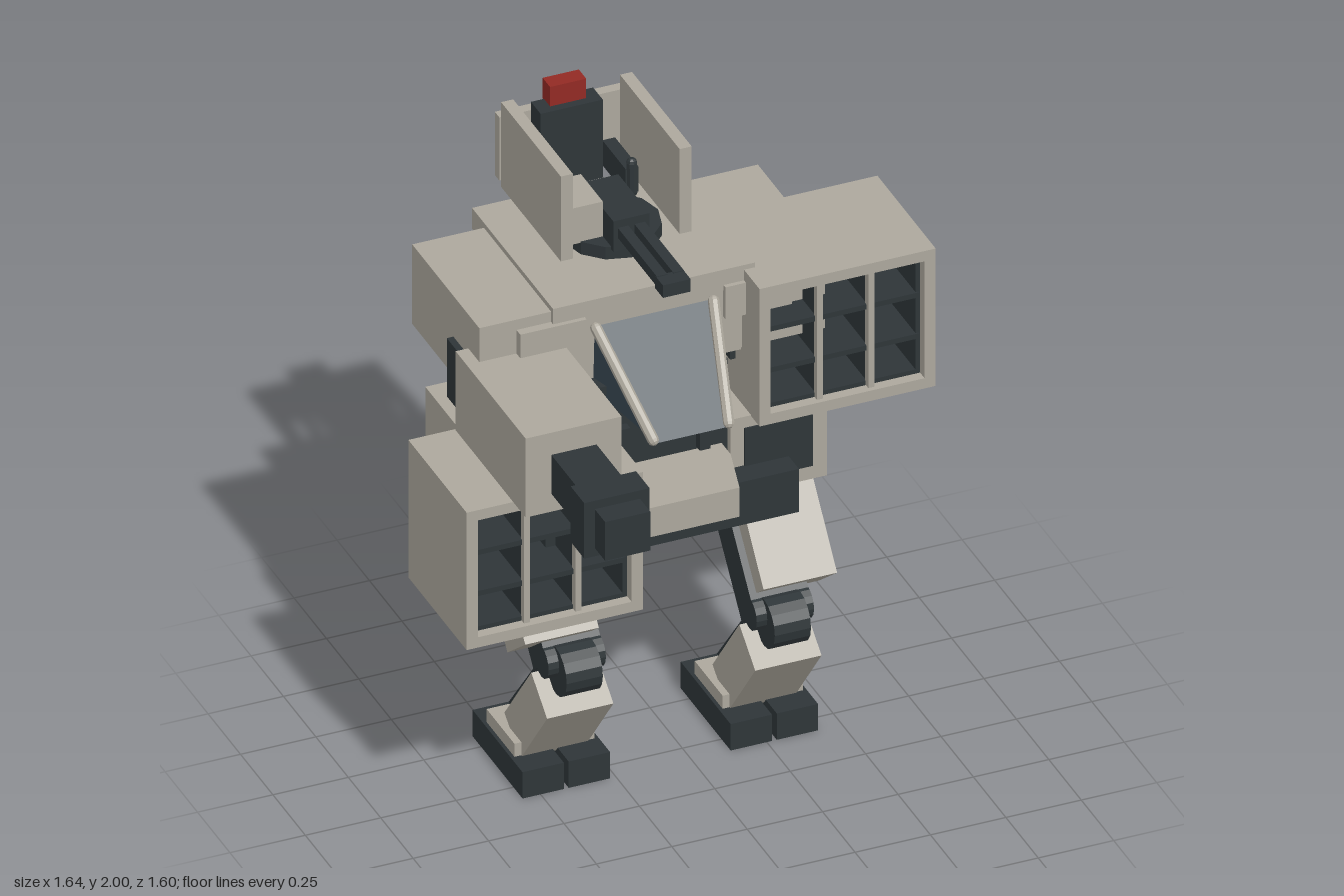
import * as THREE from 'three';
import { ConvexGeometry } from 'three/addons/geometries/ConvexGeometry.js';

const material = (color) => new THREE.MeshStandardMaterial({ color, flatShading: true });
const armor = material(0xaca79c), dark = material(0x2e3538), glass = material(0x33414b), red = material(0x922a24);
const C = -0.07; // centre line of the body

export function createModel() {
  const root = new THREE.Group();

  const add = (name, geometry, mat, parent = root) => {
    const mesh = new THREE.Mesh(geometry, mat);
    mesh.name = name;
    parent.add(mesh);
    return mesh;
  };
  // Box from its extents
  const box = (name, mat, x0, x1, y0, y1, z0, z1, parent) => {
    const m = add(name, new THREE.BoxGeometry(Math.abs(x1 - x0), y1 - y0, z1 - z0), mat, parent);
    m.position.set((x0 + x1) / 2, (y0 + y1) / 2, (z0 + z1) / 2);
    return m;
  };
  // Tilted box whose long axis runs between two [z, y] points
  const beam = (name, mat, x0, x1, a, b, thick, parent) => {
    const dz = b[0] - a[0], dy = b[1] - a[1];
    const m = add(name, new THREE.BoxGeometry(Math.abs(x1 - x0), Math.hypot(dz, dy), thick), mat, parent);
    m.position.set((x0 + x1) / 2, (a[1] + b[1]) / 2, (a[0] + b[0]) / 2);
    m.rotation.x = Math.atan2(dz, dy);
    return m;
  };
  // Cylinder lying along x
  const axle = (name, mat, x0, x1, y, z, r, parent) => {
    const m = add(name, new THREE.CylinderGeometry(r, r, Math.abs(x1 - x0), 16), mat, parent);
    m.rotation.z = Math.PI / 2;
    m.position.set((x0 + x1) / 2, y, z);
    return m;
  };
  const rod = (name, mat, a, b, r) => {
    const d = new THREE.Vector3().subVectors(b, a);
    const m = add(name, new THREE.CapsuleGeometry(r, d.length(), 3, 8), mat);
    m.position.addVectors(a, b).multiplyScalar(0.5);
    m.quaternion.setFromUnitVectors(new THREE.Vector3(0, 1, 0), d.normalize());
  };

  // Torso, top deck and pelvis
  box('torso', dark, C - 0.22, C + 0.22, 0.95, 1.37, -0.4, 0);
  box('upperBody', armor, C - 0.29, C + 0.29, 1.35, 1.6, -0.4, -0.06);
  box('topDeck', armor, C - 0.335, C + 0.335, 1.58, 1.655, -0.68, -0.055);
  box('pelvisSlab', dark, C - 0.42, C + 0.42, 0.815, 0.97, -0.43, 0.085);
  const plan = new THREE.Shape([[-0.2, 0.05], [-0.2, -0.07], [-0.15, -0.255], [0.15, -0.255], [0.2, -0.07], [0.2, 0.05]]
    .map(([x, y]) => new THREE.Vector2(x, y)));
  const apron = add('pelvisApron', new THREE.ExtrudeGeometry(plan, { depth: 0.105, bevelEnabled: false }), armor);
  apron.rotation.x = -Math.PI / 2;
  apron.position.set(C, 0.965, 0);

  // Cockpit wedge with a pillar down each edge
  const hull = [];
  for (const s of [-1, 1])
    for (const [w, y, z] of [[0.195, 1.555, -0.06], [0.115, 1.285, 0.235], [0.2, 1.33, -0.06]])
      hull.push(new THREE.Vector3(C + s * w, y, z));
  add('cockpit', new ConvexGeometry(hull), glass);
  for (const s of [-1, 1]) {
    rod('cockpitPillar', armor, new THREE.Vector3(C + s * 0.195, 1.555, -0.05),
      new THREE.Vector3(C + s * 0.125, 1.295, 0.228), 0.018);
    box('chinStrut', dark, C + s * 0.115, C + s * 0.15, 1.08, 1.22, -0.01, 0.03);
  }

  // Backpack with two columns of vents
  box('backpack', dark, C - 0.2, C + 0.2, 0.88, 1.355, -0.64, -0.5);
  box('backpackMount', dark, C - 0.15, C + 0.15, 0.9, 1.12, -0.52, -0.38);
  for (const s of [-1, 1])
    for (let i = 0; i < 4; i++)
      box('vent', armor, C + s * 0.04, C + s * 0.16, 1.025 + i * 0.062, 1.04 + i * 0.062, -0.652, -0.635);
  box('backLight', red, C - 0.06, C + 0.06, 1.35, 1.45, -0.415, -0.36);

  // Shoulders and hips
  for (const s of [-1, 1]) {
    box('shoulder', armor, C + s * 0.26, C + s * 0.573, 1.35, 1.637, -0.588, -0.07);
    box('shoulderBracket', armor, C + s * 0.23, C + s * 0.45, 1.485, 1.6, -0.2, -0.04);
    box('upperArm', dark, C + s * 0.28, C + s * 0.595, 1.28, 1.49, -0.27, -0.12);
    box('hip', armor, C + s * 0.23, C + s * 0.55, 0.865, 1.145, -0.54, 0);
    box('hipInset', dark, C + s * 0.275, C + s * 0.5, 0.915, 1.105, -0.05, 0.006);
  }

  // Open launcher box with a grid of cells
  const launcher = (x, y, z) => {
    const g = new THREE.Group();
    g.name = 'launcher';
    const rect = (path, w, h) => path.moveTo(-w, -h).lineTo(w, -h).lineTo(w, h).lineTo(-w, h).closePath();
    const ring = (w, h, t) => {
      const shape = rect(new THREE.Shape(), w, h);
      shape.holes.push(rect(new THREE.Path(), w - t, h - t));
      return shape;
    };
    const shell = add('launcherShell', new THREE.ExtrudeGeometry(ring(0.292, 0.248, 0.037), { depth: 0.45, bevelEnabled: false }), armor, g);
    shell.position.z = -0.225;
    const lining = add('launcherLining', new THREE.ExtrudeGeometry(ring(0.256, 0.212, 0.016), { depth: 0.36, bevelEnabled: false }), dark, g);
    lining.position.z = -0.17;
    box('launcherBack', dark, -0.256, 0.256, -0.212, 0.212, -0.2, -0.17, g);
    for (const s of [-1, 1]) {
      box('cellShelf', dark, -0.25, 0.25, s * 0.074 - 0.009, s * 0.074 + 0.009, -0.17, 0.195, g);
      box('cellDivider', dark, s * 0.085 - 0.007, s * 0.085 + 0.007, -0.21, 0.21, -0.17, 0.19, g);
      box('cellPost', armor, s * 0.085 - 0.01, s * 0.085 + 0.01, -0.21, 0.21, 0.185, 0.21, g);
    }
    box('launcherStripe', red, 0.285, 0.297, -0.033, 0.033, -0.165, 0.12, g);
    g.position.set(x, y, z);
    root.add(g);
  };
  launcher(0.52, 1.39, -0.16);
  launcher(-0.535, 0.962, 0.035);

  // Right arm cannon
  box('cannonHousing', armor, -0.685, -0.367, 1.23, 1.515, -0.155, 0.385);
  box('cannonStripe', red, -0.37, -0.36, 1.35, 1.42, -0.03, 0.335);
  box('cannonBarrel', dark, -0.6, -0.45, 1.295, 1.435, 0.38, 0.8);
  box('muzzleBlock', dark, -0.635, -0.418, 1.265, 1.465, 0.615, 0.72);
  box('armLink', dark, -0.67, -0.38, 1.2, 1.235, -0.15, 0.2);

  // Turret with twin guns
  const ringBase = add('turretRing', new THREE.CylinderGeometry(0.155, 0.155, 0.045, 12), dark);
  ringBase.position.set(C, 1.677, -0.385);
  box('turretGunHousing', dark, C - 0.06, C + 0.06, 1.69, 1.8, -0.47, -0.23);
  box('turretSensor', armor, -0.245, -0.13, 1.695, 1.825, -0.48, -0.31);
  for (const s of [-1, 1])
    box('turretBarrel', dark, C + s * 0.01, C + s * 0.045, 1.737, 1.773, -0.25, 0.07);
  box('turretMuzzle', dark, C - 0.046, C + 0.046, 1.725, 1.77, 0.06, 0.12);

  // Shield plates around the turret
  for (const s of [-1, 1]) {
    box('sideShield', armor, C + s * 0.177, C + s * 0.217, 1.672, 1.978, -0.73, -0.27);
    box('shieldArm', dark, C + s * 0.11, C + s * 0.152, 1.68, 1.77, -0.71, -0.53);
    rod('shieldPin', dark, new THREE.Vector3(C + s * 0.13, 1.69, -0.525), new THREE.Vector3(C + s * 0.13, 1.79, -0.53), 0.017);
  }
  box('rearShield', armor, C - 0.208, C + 0.208, 1.672, 1.9, -0.8, -0.765);
  box('mast', dark, C - 0.103, C + 0.103, 1.64, 1.93, -0.765, -0.69);
  box('mastFoot', dark, C - 0.103, C + 0.103, 1.595, 1.65, -0.745, -0.68);
  box('beacon', red, C - 0.06, C + 0.06, 1.925, 2, -0.775, -0.718);

  // Legs, mirrored about the centre line; x is measured outward
  for (const s of [-1, 1]) {
    const X = (d) => C + s * d;
    const leg = new THREE.Group();
    leg.name = s > 0 ? 'leftLeg' : 'rightLeg';
    root.add(leg);
    axle('hipJoint', dark, X(0.23), X(0.48), 0.81, -0.205, 0.065, leg);
    beam('thighCore', dark, X(0.25), X(0.44), [-0.2, 0.83], [0.09, 0.475], 0.13, leg);
    beam('thighArmor', armor, X(0.273), X(0.517), [-0.13, 0.83], [0.085, 0.557], 0.175, leg);
    beam('thighStripe', red, X(0.51), X(0.524), [-0.075, 0.76], [0.055, 0.595], 0.07, leg);
    axle('knee', dark, X(0.285), X(0.405), 0.475, 0.13, 0.083, leg);
    axle('kneeBoss', dark, X(0.25), X(0.44), 0.5, 0.1, 0.055, leg);
    beam('shinArmor', armor, X(0.235), X(0.455), [0.117, 0.39], [-0.09, 0.125], 0.155, leg);
    beam('shinCore', dark, X(0.285), X(0.405), [0.05, 0.43], [-0.2, 0.125], 0.085, leg);
    box('ankle', armor, X(0.212), X(0.478), 0.09, 0.142, -0.235, -0.02, leg);
    box('heel', dark, X(0.2), X(0.49), 0, 0.095, -0.315, -0.06, leg);
    for (const t of [-1, 1])
      box('toe', dark, X(0.345 + t * 0.008), X(0.345 + t * 0.145), 0, 0.095, -0.07, 0.07, leg);
  }
  return root;
}
